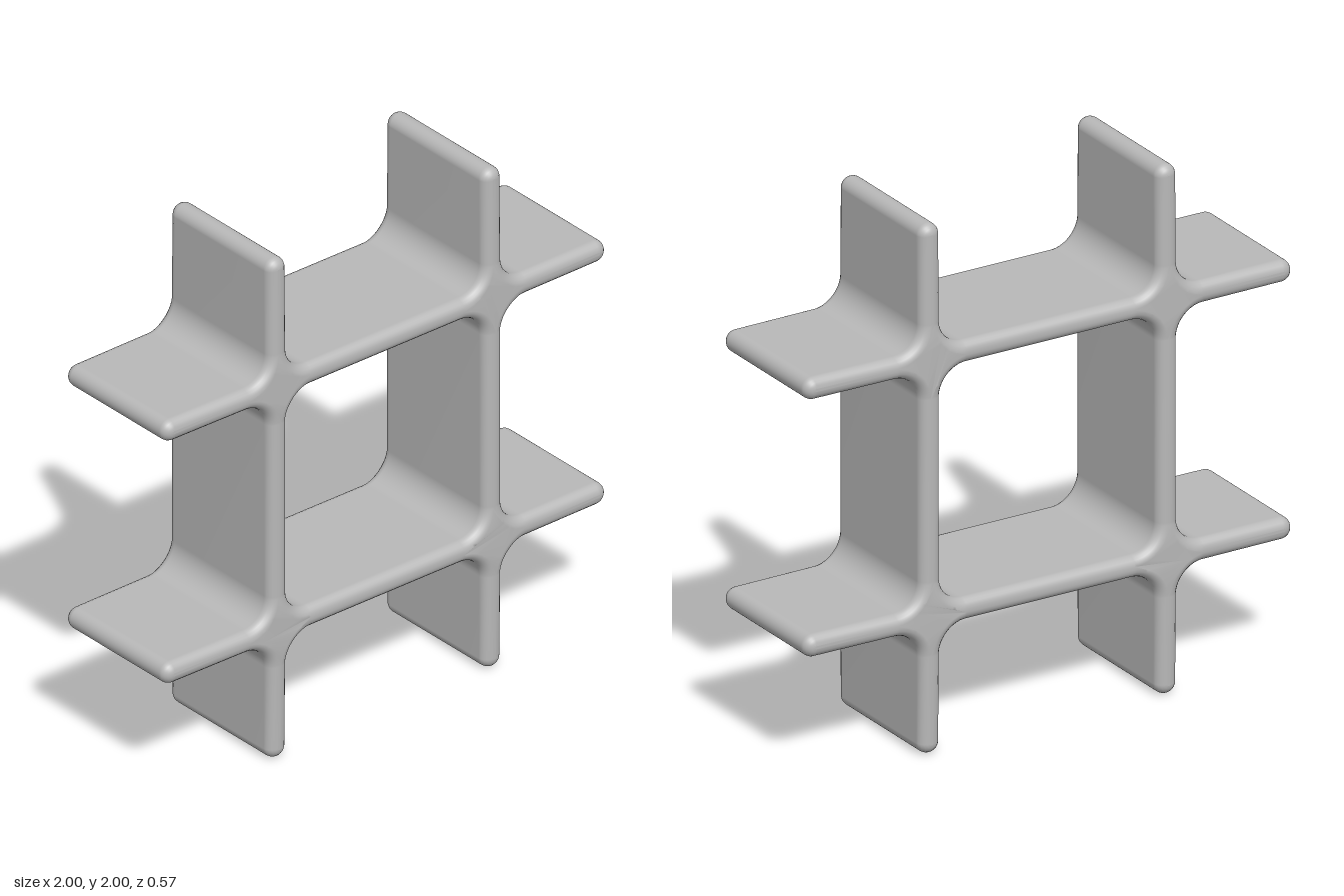
import * as THREE from 'three';
import { mergeVertices } from 'three/addons/utils/BufferGeometryUtils.js';

const C = 0.486;      // bar centre offset
const T = 0.042;      // half bar thickness
const R = 0.1;        // fillet radius at the crossings
const HALF_DEPTH = 0.275;
const EDGE = 0.036;   // rounding of the long edges
const Q = Math.PI / 2;

// Outer outline: one side (two rounded tips, three fillets) repeated by quarter turns
function outline() {
  const shape = new THREE.Shape();
  const up = C + T + R;
  const arcs = [
    [C, 1 - T, T, 0, 2 * Q, false],
    [C - T - R, up, R, 0, -Q, true],
    [-C + T + R, up, R, -Q, -2 * Q, true],
    [-C, 1 - T, T, 0, 2 * Q, false],
    [-up, up, R, 0, -Q, true],
  ];
  for (let k = 0; k < 4; k++) {
    const turn = k * Q, c = Math.cos(turn), s = Math.sin(turn);
    for (const [x, y, r, a, b, clockwise] of arcs) {
      shape.absarc(x * c - y * s, x * s + y * c, r, a + turn, b + turn, clockwise);
    }
  }
  return shape;
}

// Central square opening with rounded corners
function opening() {
  const path = new THREE.Path();
  const m = C - T - R;
  [[m, m], [-m, m], [-m, -m], [m, -m]].forEach(([x, y], k) => {
    path.absarc(x, y, R, k * Q, (k + 1) * Q, false);
  });
  return path;
}

export function createModel() {
  const group = new THREE.Group();
  group.name = 'hashFrame';
  const grey = new THREE.MeshStandardMaterial({ color: 0xb8b8b8 });
  grey.name = 'grey';

  const shape = outline();
  shape.holes.push(opening());
  const depth = 2 * (HALF_DEPTH - EDGE);
  let geometry = new THREE.ExtrudeGeometry(shape, {
    depth, curveSegments: 10, bevelEnabled: true, bevelSegments: 5,
    bevelThickness: EDGE, bevelSize: EDGE, bevelOffset: -EDGE,
  });
  geometry.translate(0, 0, -depth / 2);

  // Slight swelling in depth where the bars cross
  const p = geometry.attributes.position;
  for (let i = 0; i < p.count; i++) {
    const d = Math.hypot(Math.abs(p.getX(i)) - C, Math.abs(p.getY(i)) - C);
    p.setZ(i, p.getZ(i) * (1 + 0.05 * Math.max(0, 1 - d / 0.2)));
  }
  geometry.translate(0, 1, 0);

  // Weld for smooth shading
  geometry.deleteAttribute('normal');
  geometry.deleteAttribute('uv');
  geometry = mergeVertices(geometry, 1e-5);
  geometry.computeVertexNormals();

  const frame = new THREE.Mesh(geometry, grey);
  frame.name = 'crossedBars';
  group.add(frame);
  return group;
}
